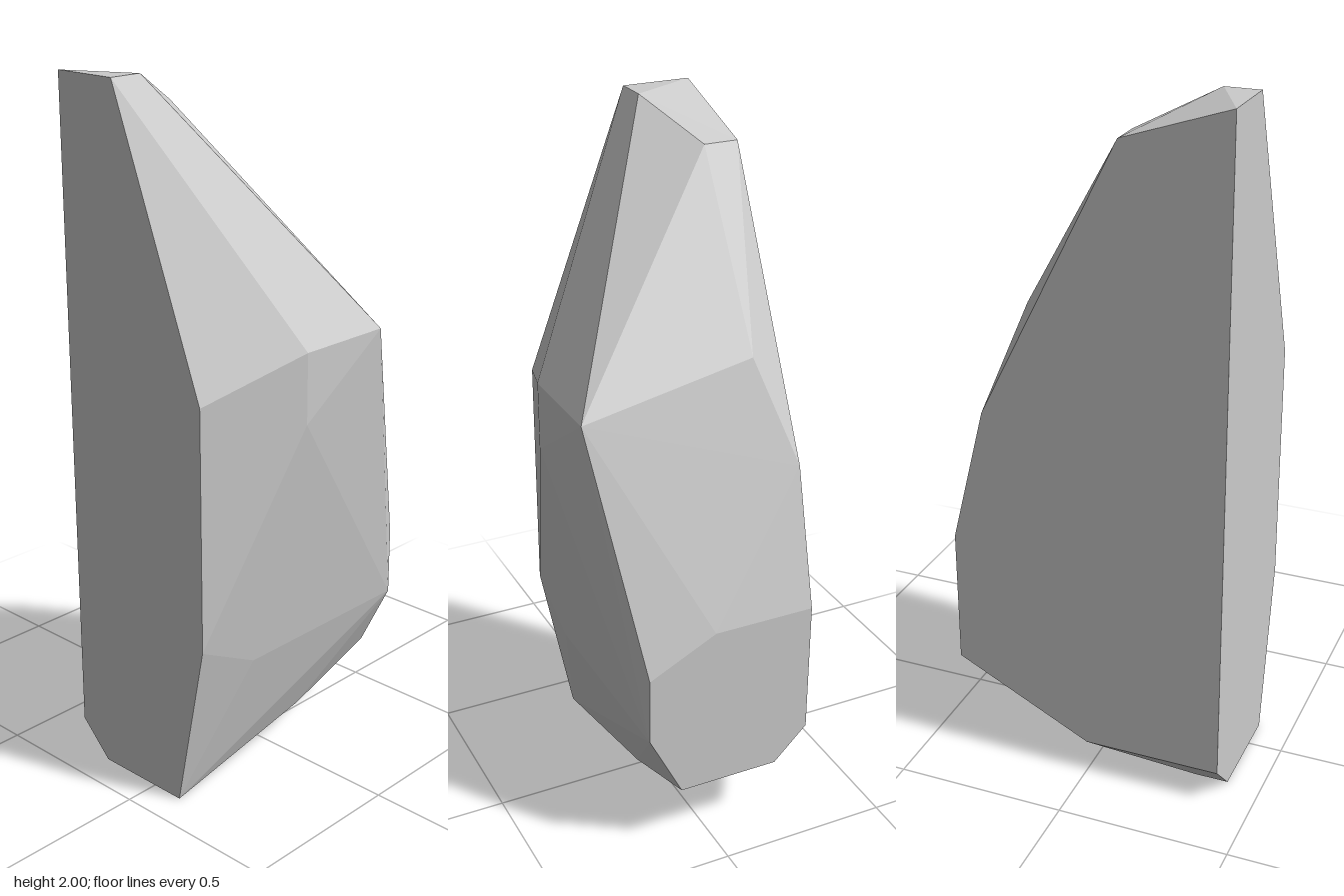
import * as THREE from 'three';
import { ConvexGeometry } from 'three/addons/geometries/ConvexGeometry.js';

// Corners of the faceted stone: flat cut back (z = -0.3) and flat cut side (x = -0.4)
const corners = {
  tip: [[-0.4, 2, -0.3], [-0.4, 2, -0.1], [-0.3, 2, -0.1], [-0.1, 1.9, -0.2], [-0.1, 1.9, -0.3]],
  shoulder: [[0.2, 1.4, -0.2], [0.3, 1.1, -0.3]],
  frontBulge: [[-0.4, 1.2, 0.2], [-0.1, 1.3, 0.3], [0.2, 1.3, 0.3], [-0.1, 1.1, 0.3]],
  lowerFront: [[-0.4, 0.5, 0.2], [-0.2, 0.4, 0.2], [0.4, 0.4, 0.2], [0.4, 0.6, 0.2]],
  flank: [[0.4, 0.7, 0], [0.4, 0.7, -0.3], [0.4, 0.3, -0.3], [0.4, 0.2, -0.2], [0.4, 0.2, 0.1]],
  foot: [[0.1, 0.1, 0.1], [-0.4, 0, 0.1], [-0.4, 0, -0.2], [-0.3, 0, -0.2], [-0.4, 0.1, -0.3], [0, 0.1, -0.3]],
};

export function createModel() {
  const group = new THREE.Group();
  group.name = 'rock';

  // One convex, flat-faceted body
  const points = Object.values(corners).flat().map((p) => new THREE.Vector3(...p));
  const stone = new THREE.Mesh(
    new ConvexGeometry(points),
    new THREE.MeshStandardMaterial({ color: 0xcccccc, flatShading: true }),
  );
  stone.name = 'stone';
  group.add(stone);
  return group;
}
